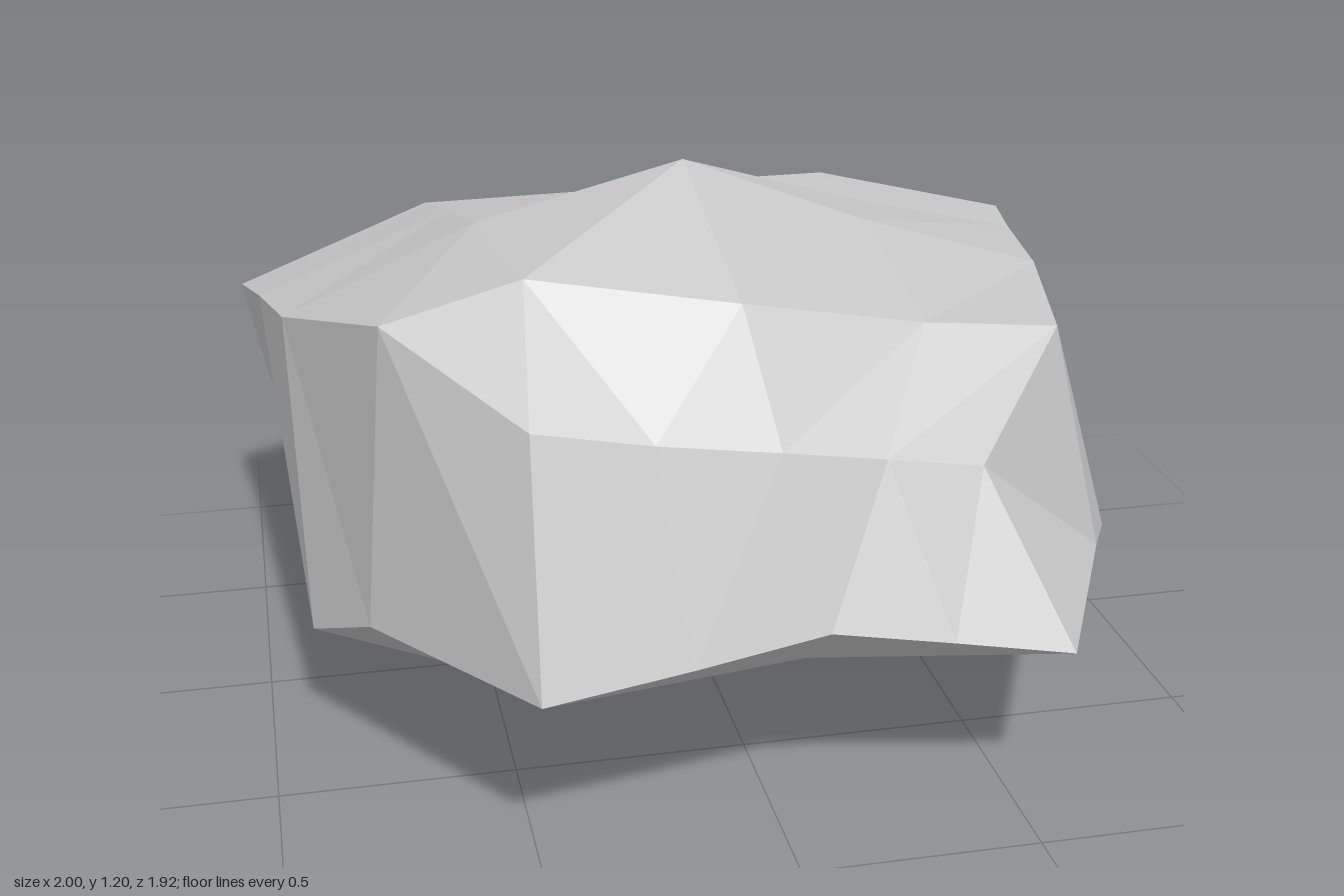
import * as THREE from 'three';

// Builds quads between successive rows of points, dropping collapsed triangles.
function loft(rows) {
  const pos = [];
  const tri = (a, b, c) => {
    const p = [a, b, c].map(v => new THREE.Vector3(...v));
    const n = p[1].clone().sub(p[0]).cross(p[2].clone().sub(p[0]));
    if (n.length() > 1e-6) p.forEach(v => pos.push(v.x, v.y, v.z));
  };
  for (let i = 0; i < rows.length - 1; i++) {
    for (let j = 0; j < rows[i].length - 1; j++) {
      const a = rows[i][j], b = rows[i][j + 1], c = rows[i + 1][j + 1], d = rows[i + 1][j];
      tri(a, b, c);
      tri(a, c, d);
    }
  }
  const g = new THREE.BufferGeometry();
  g.setAttribute('position', new THREE.Float32BufferAttribute(pos, 3));
  g.computeVertexNormals();
  return g;
}

export function createModel() {
  const group = new THREE.Group();
  group.name = 'facetedShell';
  const grey = new THREE.MeshStandardMaterial({ color: 0xcccccc, flatShading: true, side: THREE.DoubleSide });
  grey.name = 'light grey';
  const add = (name, rows) => {
    const mesh = new THREE.Mesh(loft(rows), grey);
    mesh.name = name;
    group.add(mesh);
  };

  // Cross rows, each from -x to +x
  const frontRim = [[-0.5, 0.41, 0.96], [-0.2, 0.44, 0.93], [0.08, 0.47, 0.895], [0.33, 0.43, 0.91], [0.58, 0.385, 0.92]];
  const brow = [[-0.49, 0.91, 0.82], [-0.25, 0.86, 0.81], [0, 0.82, 0.8], [0.22, 0.775, 0.77], [0.43, 0.73, 0.74]];
  const frontEdge = [[-0.74, 1.035, 0.52], [-0.46, 1.125, 0.56], [-0.04, 1.065, 0.62], [0.36, 0.97, 0.54], [0.66, 0.93, 0.51]];
  const crown = [[-0.915, 0.89, 0], [-0.49, 1.08, 0.01], [-0.04, 1.205, 0.05], [0.38, 1.03, 0], [0.8, 0.9, 0]];
  const backSlope = [[-0.96, 0.81, -0.4], [-0.5, 0.96, -0.5], [0.03, 0.98, -0.56], [0.55, 0.9, -0.57], [0.92, 0.83, -0.5]];
  const backEdge = [[-1, 0.72, -0.77], [-0.52, 0.854, -0.94], [0.04, 0.855, -0.965], [0.55, 0.868, -0.96], [1, 0.79, -0.81]];
  const backLow = [[-0.75, 0.43, -0.72], [-0.45, 0.41, -0.8], [0.04, 0.38, -0.84], [0.45, 0.41, -0.78], [0.76, 0.43, -0.77]];
  const backRim = [[-0.86, 0.165, -0.38], [-0.57, 0.07, -0.42], [0.02, 0.005, -0.47], [0.62, 0.09, -0.43], [0.91, 0.19, -0.42]];

  // Lower rim points along the two sides
  const right = [[-0.79, 0.39, 0.52], [-0.9, 0.27, 0.27]];
  const left = [[0.78, 0.42, 0.52], [0.9, 0.345, 0.27]];

  // Front, top and back skin
  add('frontWall', [frontRim, brow, frontEdge]);
  add('topWall', [frontEdge, crown, backSlope, backEdge]);
  add('backWall', [backEdge, backLow, backRim]);

  // Side skins run from the rim up to the ends of the cross rows
  const spine = [frontRim, brow, frontEdge, crown, backSlope, backEdge, backLow, backRim];
  const rim = (s, k) => [frontRim[k], frontRim[k], s[0], s[1], backRim[k], backRim[k], backRim[k], backRim[k]];
  add('rightWall', spine.map((r, i) => [rim(right, 0)[i], r[0]]));
  add('leftWall', spine.map((r, i) => [r[4], rim(left, 4)[i]]));

  // Underside narrowing to a four-cornered opening with a short throat
  const opening = [[0.06, 0.36, 0.78], [0.6, 0.23, 0.26], [0, 0.05, -0.33], [-0.6, 0.145, 0.26]];
  const throat = [[0.03, 0.31, 0.66], [0.42, 0.26, 0.25], [-0.03, 0.13, -0.19], [-0.42, 0.19, 0.23]];
  const outer = [...frontRim, ...left, ...[...backRim].reverse(), right[1], right[0], frontRim[0]];
  const nearest = [0, 0, 0, 0, 0, 1, 1, 1, 1, 2, 3, 3, 3, 3, 0];
  add('underside', [nearest.map(k => opening[k]), outer]);
  add('openingThroat', [[...throat, throat[0]], [...opening, opening[0]]]);

  return group;
}
